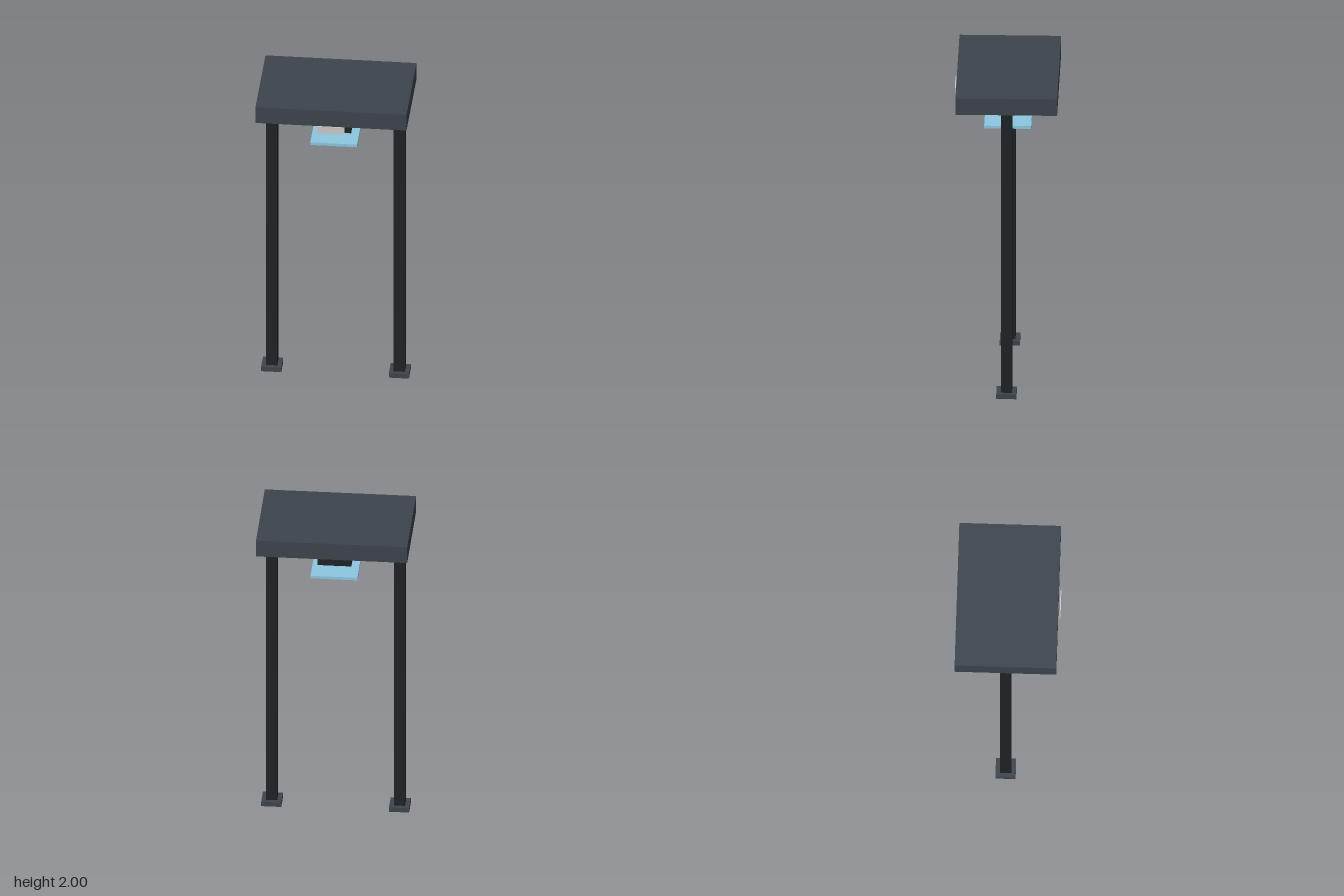
import * as THREE from 'three';

const paint = (color) => new THREE.MeshStandardMaterial({ color });

export function createModel() {
  const model = new THREE.Group();
  const slate = paint(0x3d444c);
  const black = paint(0x1f2326);
  const blue = paint(0x8cc8e0);
  const grey = paint(0xcccccc);
  const midZ = -0.007;

  // Adds a mesh whose underside sits at the given height
  const add = (name, geometry, height, material, x, bottom, z = midZ) => {
    const mesh = new THREE.Mesh(geometry, material);
    mesh.name = name;
    mesh.position.set(x, bottom + height / 2, z);
    model.add(mesh);
  };
  const box = (name, w, h, d, material, x, bottom, z) =>
    add(name, new THREE.BoxGeometry(w, h, d), h, material, x, bottom, z);

  // Roof slab
  box('roof', 0.916, 0.11, 0.614, slate, 0, 1.89);

  // Two posts on square feet
  for (const [side, x] of [['left', 0.387], ['right', -0.387]]) {
    box(side + 'Post', 0.068, 1.86, 0.068, black, x, 0.03);
    box(side + 'Foot', 0.122, 0.03, 0.122, slate, x, 0);
  }

  // Hanging housing with a round lens and a square glass plate below
  box('housing', 0.204, 0.163, 0.204, black, 0, 1.728);
  add('lens', new THREE.CylinderGeometry(0.061, 0.061, 0.018, 32), 0.018, blue, 0, 1.699);
  box('glassPlate', 0.284, 0.018, 0.284, blue, 0, 1.656);

  // Thin blank panel in front of the roof
  box('frontPanel', 0.165, 0.048, 0.006, grey, 0, 1.847, 0.311);

  return model;
}
